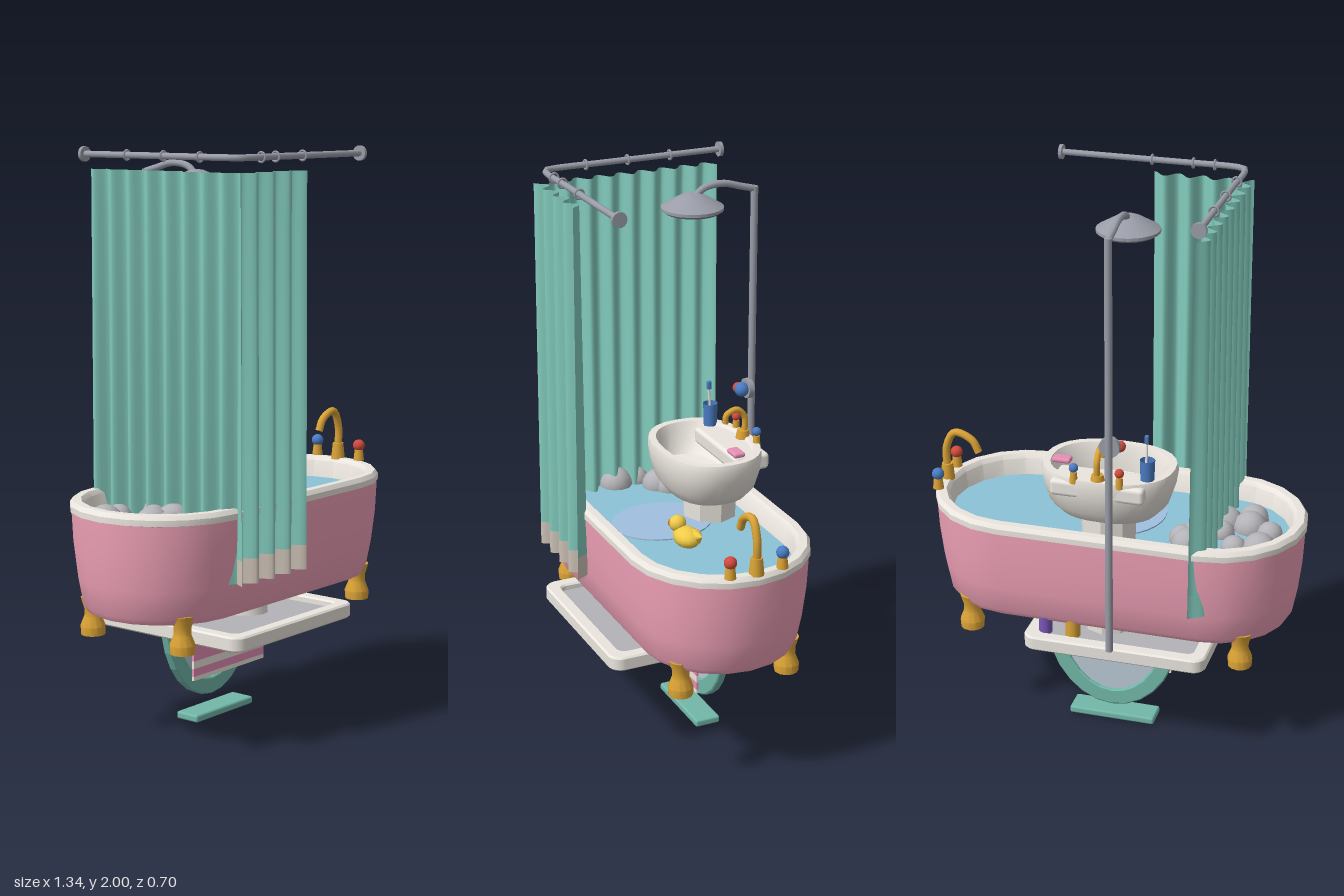
import * as THREE from 'three';
import { toCreasedNormals } from 'three/addons/utils/BufferGeometryUtils.js';
import { RoundedBoxGeometry } from 'three/addons/geometries/RoundedBoxGeometry.js';

const C = {
  white: 0xebe6df, pink: 0xf0a2b8, towel: 0xe78fb5, teal: 0x84cdbf, darkTeal: 0x72b8a9, water: 0x8dc3d8,
  pale: 0xa0bfe0, gold: 0xdba336, red: 0xd24a3c, blue: 0x4a7cc4, metal: 0x9a9da8, dark: 0x55555c,
  foam: 0xb4b4b8, hem: 0xcfc4b8, yellow: 0xf0cc48, orange: 0xe8882c, purple: 0x7a55b8,
};
const V = (x, y, z) => new THREE.Vector3(x, y, z);

export function createModel() {
  const root = new THREE.Group();

  const add = (name, geo, color, x = 0, y = 0, z = 0, doubleSide = false) => {
    const mat = new THREE.MeshStandardMaterial({ color });
    if (doubleSide) mat.side = THREE.DoubleSide;
    const mesh = new THREE.Mesh(geo, mat);
    mesh.name = name;
    mesh.position.set(x, y, z);
    root.add(mesh);
    return mesh;
  };
  const cyl = (rt, rb, h, n = 14) => new THREE.CylinderGeometry(rt, rb, h, n);
  const ball = (r, n = 14) => new THREE.SphereGeometry(r, n, 10);
  const box = (w, h, d, r = 0.008) => new RoundedBoxGeometry(w, h, d, 2, r);
  const tube = (pts, r, n = 24) =>
    new THREE.TubeGeometry(new THREE.CatmullRomCurve3(pts, false, 'centripetal'), n, r, 10);

  // Skin closed rings of points, from the lowest outer ring onward
  const loft = (rings) => {
    const n = rings[0].length, pos = [], idx = [];
    rings.forEach((ring) => ring.forEach((p) => pos.push(p.x, p.y, p.z)));
    for (let i = 0; i < rings.length - 1; i++) {
      for (let j = 0; j < n; j++) {
        const a = i * n + j, b = i * n + (j + 1) % n;
        idx.push(a, a + n, b, b, a + n, b + n);
      }
    }
    const geo = new THREE.BufferGeometry();
    geo.setAttribute('position', new THREE.Float32BufferAttribute(pos, 3));
    geo.setIndex(idx);
    return toCreasedNormals(geo, 0.6);
  };
  const stadium = ([r, y]) => {
    const ring = [];
    for (const side of [1, -1]) {
      for (let i = 0; i <= 10; i++) {
        const a = -Math.PI / 2 + Math.PI * i / 10;
        ring.push(V(side * (0.352 + r * Math.cos(a)), y, side * r * Math.sin(a)));
      }
    }
    return ring;
  };
  const oval = ([rx, rz, y, zc], power = 0.85) => {
    const bend = (v) => Math.sign(v) * Math.abs(v) ** power;
    return Array.from({ length: 28 }, (_, i) => {
      const a = i / 28 * Math.PI * 2;
      return V(rx * bend(Math.cos(a)), y, zc + rz * bend(Math.sin(a)));
    });
  };

  // Bathtub with rim, water and four feet
  add('tubBody', loft([[0, 0.465], [0.262, 0.465], [0.275, 0.485], [0.293, 0.58], [0.306, 0.69], [0.312, 0.81]].map(stadium)), C.pink);
  add('tubRim', loft([[0.3, 0.8], [0.316, 0.805], [0.316, 0.825], [0.305, 0.84], [0.278, 0.84], [0.265, 0.825], [0.25, 0.72]].map(stadium)), C.white);
  add('bathWater', loft([[0.258, 0.765], [0, 0.765]].map(stadium)), C.water);
  const footProfile = [[0, 0], [0.042, 0], [0.044, 0.03], [0.03, 0.065], [0.03, 0.09], [0.042, 0.13], [0, 0.13]]
    .map(([x, y]) => new THREE.Vector2(x, y));
  for (const x of [-0.49, 0.49]) for (const z of [-0.2, 0.2]) {
    add('tubFoot', toCreasedNormals(new THREE.LatheGeometry(footProfile, 12), 0.6), C.gold, x, 0.363, z);
  }

  // Foam bubbles
  [[-0.525, -0.105, 0.06], [-0.44, -0.122, 0.046], [-0.537, 0.013, 0.046], [-0.46, 0.045, 0.06],
    [-0.458, 0.115, 0.053], [-0.37, 0.06, 0.06], [-0.375, -0.023, 0.046], [-0.28, -0.135, 0.057],
    [-0.295, -0.075, 0.058], [-0.255, -0.1, 0.05]]
    .forEach(([x, z, r]) => add('foamBubble', ball(r, 12), C.foam, x, 0.77, z));

  // Toy duck floating in the bath
  const body = add('duckBody', ball(0.045), C.yellow, 0.2, 0.79, 0.042);
  body.scale.set(1.35, 0.8, 1);
  const tail = add('duckTail', new THREE.ConeGeometry(0.03, 0.05, 10), C.yellow, 0.25, 0.805, 0.022);
  tail.rotation.set(-0.3, 0, -1.2);
  add('duckHead', ball(0.03), C.yellow, 0.155, 0.825, 0.055);
  const beak = add('duckBeak', new THREE.ConeGeometry(0.015, 0.03, 8), C.orange, 0.118, 0.82, 0.067);
  beak.rotation.z = Math.PI / 2;

  // Tub spout and taps
  const tap = (name, x, y, z, color, r = 0.022) => {
    add(name + 'Stem', cyl(r * 0.7, r * 0.9, 0.04), C.gold, x, y + 0.015, z);
    add(name + 'Knob', ball(r), color, x, y + 0.05, z);
  };
  add('tubSpoutBase', cyl(0.02, 0.026, 0.06), C.gold, 0.642, 0.865, 0);
  add('tubSpout', tube([V(0.642, 0.87, 0), V(0.642, 0.96, 0), V(0.61, 1.018, 0), V(0.545, 0.995, 0), V(0.522, 0.952, 0)], 0.014), C.gold);
  tap('tubHotTap', 0.642, 0.845, 0.095, C.red);
  tap('tubColdTap', 0.642, 0.845, -0.095, C.blue);

  // Washbasin on a pedestal
  add('basin', loft([[0, 0, 0.855, -0.12], [0.13, 0.1, 0.855, -0.12], [0.17, 0.13, 0.87, -0.12], [0.208, 0.158, 0.91, -0.12],
    [0.228, 0.174, 0.97, -0.12], [0.236, 0.18, 1.02, -0.12], [0.23, 0.176, 1.04, -0.12], [0.205, 0.152, 1.04, -0.12],
    [0.19, 0.138, 1.015, -0.115], [0.15, 0.1, 0.94, -0.08], [0, 0, 0.92, -0.07]].map((r) => oval(r))), C.white);
  add('basinDeck', box(0.33, 0.06, 0.135, 0.015), C.white, 0, 1.0, -0.225);
  add('basinPedestal', toCreasedNormals(cyl(0.1, 0.085, 0.45, 8), 0.3), C.white, 0, 0.64, -0.14);
  add('basinSpoutBase', cyl(0.02, 0.026, 0.03), C.gold, 0, 1.045, -0.27);
  add('basinSpout', tube([V(0, 1.04, -0.275), V(0, 1.11, -0.275), V(0, 1.14, -0.245), V(0, 1.125, -0.205), V(0, 1.095, -0.2)], 0.011), C.gold);
  tap('basinHotTap', -0.08, 1.03, -0.283, C.red, 0.016);
  tap('basinColdTap', 0.08, 1.03, -0.283, C.blue, 0.016);
  add('soap', box(0.066, 0.018, 0.042), C.towel, 0.157, 1.05, -0.165);
  add('toothbrushCup', new THREE.CylinderGeometry(0.026, 0.023, 0.085, 14, 1, true), C.blue, -0.16, 1.07, -0.22, true);
  add('cupBottom', cyl(0.023, 0.023, 0.006), C.blue, -0.16, 1.04, -0.22);
  const brush = add('toothbrush', box(0.008, 0.13, 0.008, 0.003), C.white, -0.155, 1.115, -0.215);
  brush.rotation.x = 0.08;
  add('toothbrushHead', box(0.014, 0.03, 0.016, 0.004), C.blue, -0.155, 1.183, -0.212);

  // Toilet hidden under the water line, with its lid at the surface
  add('toilet', loft([[0, 0, 0.39, 0.04], [0.085, 0.115, 0.39, 0.04], [0.075, 0.1, 0.52, 0.04], [0.14, 0.16, 0.68, 0.045],
    [0.155, 0.18, 0.762, 0.045]].map((r) => oval(r, 1))), C.white);
  add('toiletLid', loft([[0.155, 0.18, 0.755, 0.045], [0.155, 0.18, 0.77, 0.045], [0, 0, 0.77, 0.045]].map((r) => oval(r, 1))), C.pale);

  // Shower tray: raised frame around a thin floor
  const roundRect = (target, w, d, r) => {
    target.absarc(w - r, d - r, r, 0, Math.PI / 2);
    target.absarc(-w + r, d - r, r, Math.PI / 2, Math.PI);
    target.absarc(-w + r, -d + r, r, Math.PI, Math.PI * 1.5);
    target.absarc(w - r, -d + r, r, Math.PI * 1.5, Math.PI * 2);
    target.closePath();
    return target;
  };
  const frame = roundRect(new THREE.Shape(), 0.322, 0.325, 0.04);
  frame.holes.push(roundRect(new THREE.Path(), 0.285, 0.288, 0.03));
  const frameGeo = new THREE.ExtrudeGeometry(frame, { depth: 0.04, bevelSize: 0.006, bevelThickness: 0.006, bevelSegments: 1, curveSegments: 6 });
  add('trayFrame', frameGeo.rotateX(-Math.PI / 2), C.white, -0.058, 0.369, 0.02);
  add('trayFloor', new THREE.BoxGeometry(0.58, 0.012, 0.585), C.foam, -0.058, 0.386, 0.02);
  add('scalePlate', cyl(0.112, 0.112, 0.012, 24), C.foam, 0.2, 0.37, -0.038);
  add('shampooBottle', cyl(0.024, 0.024, 0.18), C.purple, 0.2, 0.5, -0.245);
  add('lotionBottle', cyl(0.026, 0.026, 0.15), C.gold, 0.1, 0.485, -0.245);

  // Oval mirror and the shelf below it
  const ringShape = new THREE.Shape().absellipse(0, 0, 0.244, 0.332, 0, Math.PI * 2);
  ringShape.holes.push(new THREE.Path().absellipse(0, 0, 0.196, 0.282, 0, Math.PI * 2));
  add('mirrorFrame', new THREE.ExtrudeGeometry(ringShape, { depth: 0.026, bevelSize: 0.005, bevelThickness: 0.004, bevelSegments: 1, curveSegments: 14 }), C.darkTeal, 0, 0.4, -0.108);
  const glass = add('mirrorGlass', cyl(1, 1, 0.012, 28).rotateX(Math.PI / 2), 0xb9c8d4, 0, 0.4, -0.095);
  glass.scale.set(0.2, 0.286, 1);
  add('mirrorShelf', box(0.315, 0.027, 0.095), C.darkTeal, 0, 0.0135, -0.066);

  // Striped towel folded over a bar
  const band = (y0, y1, z, color) =>
    add('towelBand', new THREE.BoxGeometry(0.39, y1 - y0, 0.008), color, 0, (y0 + y1) / 2, z);
  [[0.165, 0.18, C.white], [0.18, 0.208, C.towel], [0.208, 0.235, C.white], [0.235, 0.64, C.towel]]
    .forEach(([a, b, c]) => band(a, b, -0.004, c));
  band(0.25, 0.64, -0.064, C.towel);
  add('towelBar', cyl(0.03, 0.03, 0.44).rotateZ(Math.PI / 2), C.metal, 0, 0.635, -0.034);

  // Shower riser, arm, head and valve
  add('showerPole', cyl(0.013, 0.013, 1.5), C.metal, -0.057, 1.17, -0.33);
  add('showerArm', tube([V(-0.057, 1.912, -0.33), V(-0.057, 1.925, -0.28), V(-0.057, 1.943, -0.21), V(-0.057, 1.935, -0.14), V(-0.057, 1.905, -0.1)], 0.012), C.metal);
  const head = [[0, 0], [0.1, 0], [0.107, 0.004], [0.107, 0.014], [0.045, 0.05], [0.02, 0.06], [0, 0.06]].map(([x, y]) => new THREE.Vector2(x, y));
  add('showerHead', toCreasedNormals(new THREE.LatheGeometry(head, 24), 0.5), C.metal, -0.057, 1.863, -0.097);
  add('showerHeadFace', cyl(0.094, 0.094, 0.006, 24), C.dark, -0.057, 1.861, -0.097);
  add('showerValve', cyl(0.036, 0.036, 0.02).rotateX(Math.PI / 2), C.metal, -0.057, 1.19, -0.316);
  add('showerHotKnob', ball(0.02), C.red, -0.085, 1.185, -0.292);
  add('showerColdKnob', ball(0.026), C.blue, -0.052, 1.19, -0.29);

  // L-shaped curtain rail with end flanges and rings
  const railY = 1.978;
  add('curtainRail', tube([V(-0.354, railY, -0.345), V(-0.354, railY, 0.1), V(-0.354, railY, 0.28), V(-0.343, railY, 0.315),
    V(-0.31, railY, 0.327), V(-0.1, railY, 0.327), V(0.305, railY, 0.327)], 0.011, 40), C.metal);
  add('railFlangeBack', cyl(0.026, 0.026, 0.012).rotateX(Math.PI / 2), C.metal, -0.354, railY, -0.342);
  add('railFlangeSide', cyl(0.026, 0.026, 0.012).rotateZ(Math.PI / 2), C.metal, 0.304, railY, 0.327);
  const ring = new THREE.TorusGeometry(0.016, 0.004, 6, 14);
  for (const x of [-0.24, -0.165, -0.02]) add('curtainRing', ring, C.metal, x, railY, 0.327).rotation.y = Math.PI / 2;
  for (const z of [0.165, 0.01, -0.15]) add('curtainRing', ring, C.metal, -0.354, railY, z);

  // Pleated curtain panels, each with a hem along the bottom
  const pleats = (length, y0, y1, folds) => {
    const geo = new THREE.PlaneGeometry(length, y1 - y0, folds * 10, 8);
    const p = geo.attributes.position;
    for (let i = 0; i < p.count; i++) {
      const y = p.getY(i) + (y0 + y1) / 2, u = p.getX(i) / length + 0.5;
      const depth = 0.02 + 0.007 * (1.93 - y) / 1.35;
      p.setY(i, y);
      p.setZ(i, -depth * Math.cos(u * folds * Math.PI * 2 + Math.PI));
    }
    geo.computeVertexNormals();
    return geo;
  };
  for (const [part, y0, y1, color] of [['Cloth', 0.67, 1.93, C.teal], ['Hem', 0.585, 0.67, C.hem]]) {
    add('frontCurtain' + part, pleats(0.35, y0, y1, 4), color, -0.198, 0, 0.329, true);
    add('sideCurtain' + part, pleats(0.64, y0, y1, 8), part === 'Hem' ? C.teal : color, -0.358, 0, -0.005, true).rotation.y = Math.PI / 2;
  }
  return root;
}
